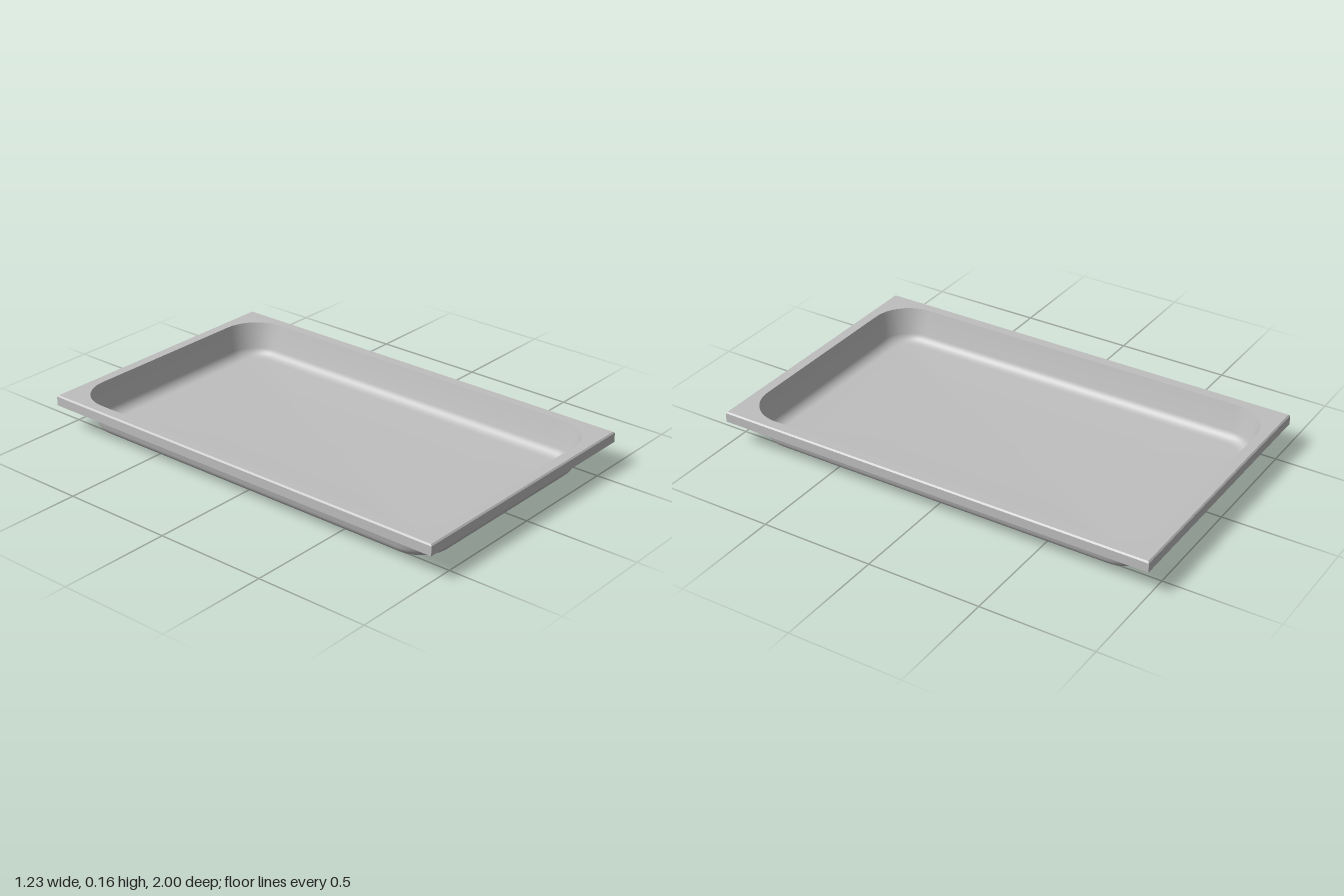
import * as THREE from 'three';
import { toCreasedNormals } from 'three/addons/utils/BufferGeometryUtils.js';

const HALF_DIFF = 0.385; // how much longer than wide each half is
const OPENING = 0.565, CORNER = 0.17, TOP = 0.157;

// Outline of a rectangle with rounded corners (steps = 0 gives square corners)
function outline(w, r, steps, d = w + HALF_DIFF) {
  const pts = [];
  [[1, 1], [-1, 1], [-1, -1], [1, -1]].forEach(([sx, sz], q) => {
    for (let i = 0; i <= steps; i++) {
      const a = (q + (steps ? i / steps : 0.5)) * Math.PI / 2;
      const k = steps ? r : 0;
      pts.push([sx * (w - k) + k * Math.cos(a), sz * (d - k) + k * Math.sin(a)]);
    }
  });
  return pts;
}

// Joins rings of [x, z] points, each at its own height, into a surface
function loft(rings) {
  const pos = [], idx = [], n = rings[0].pts.length;
  rings.forEach(({ pts, y }) => pts.forEach(([x, z]) => pos.push(x, y, z)));
  for (let i = 0; i < rings.length - 1; i++) {
    for (let j = 0; j < n; j++) {
      const a = i * n + j, b = i * n + (j + 1) % n;
      idx.push(a, a + n, b, b, a + n, b + n);
    }
  }
  const g = new THREE.BufferGeometry();
  g.setAttribute('position', new THREE.Float32BufferAttribute(pos, 3));
  g.setIndex(idx);
  // enlarged while creasing so that close vertices stay distinct
  g.scale(100, 100, 100);
  const creased = toCreasedNormals(g, 0.6);
  creased.scale(0.01, 0.01, 0.01);
  return creased;
}

// Fillet between floor and sloping wall, as [x, y] pairs
function fillet(radius) {
  const pts = [], slope = Math.atan(0.25);
  for (let i = 0; i <= 9; i++) {
    const a = -Math.PI / 2 + (Math.PI / 2 - slope) * i / 9;
    pts.push([0.489 + radius * Math.cos(a), 0.055 + radius * Math.sin(a)]);
  }
  return pts;
}

export function createModel() {
  const steel = new THREE.MeshStandardMaterial({ color: 0xbfbfbf });
  steel.name = 'brushed steel';
  const group = new THREE.Group();
  group.name = 'tray';
  const add = (name, geometry) => {
    const mesh = new THREE.Mesh(geometry, steel);
    mesh.name = name;
    group.add(mesh);
    return mesh;
  };

  // Basin: up the outside, over the edge, down the inside
  const steps = 12;
  const basinRing = ([x, y]) => ({ pts: outline(x, CORNER + x - OPENING, steps), y });
  const centre = (y) => ({ pts: outline(0, 0, steps, 0), y });
  add('basin', loft([
    centre(0),
    ...fillet(0.055).map(basinRing),
    basinRing([OPENING + 0.006, TOP]),
    basinRing([OPENING, TOP]),
    ...fillet(0.049).reverse().map(basinRing),
    centre(0.006),
  ]));

  // Flat rim with the rounded opening cut out
  const toVectors = (pts) => pts.map(([x, z]) => new THREE.Vector2(x, z));
  const rim = new THREE.Shape(toVectors(outline(0.609, 0, 0)));
  rim.holes.push(new THREE.Path(toVectors(outline(OPENING + 0.006, CORNER + 0.006, steps))));
  const rimGeometry = new THREE.ExtrudeGeometry(rim, { depth: 0.007, bevelEnabled: false });
  rimGeometry.rotateX(-Math.PI / 2);
  add('rim', rimGeometry).position.y = TOP - 0.007;

  // Skirt turned down around the rim, with a small bevel on top
  const skirtProfile = [[0.607, 0.15], [0.607, 0.11], [0.615, 0.11], [0.615, 0.151], [0.609, TOP]];
  add('skirt', loft(skirtProfile.map(([x, y]) => ({ pts: outline(x, 0, 0), y }))));

  return group;
}
